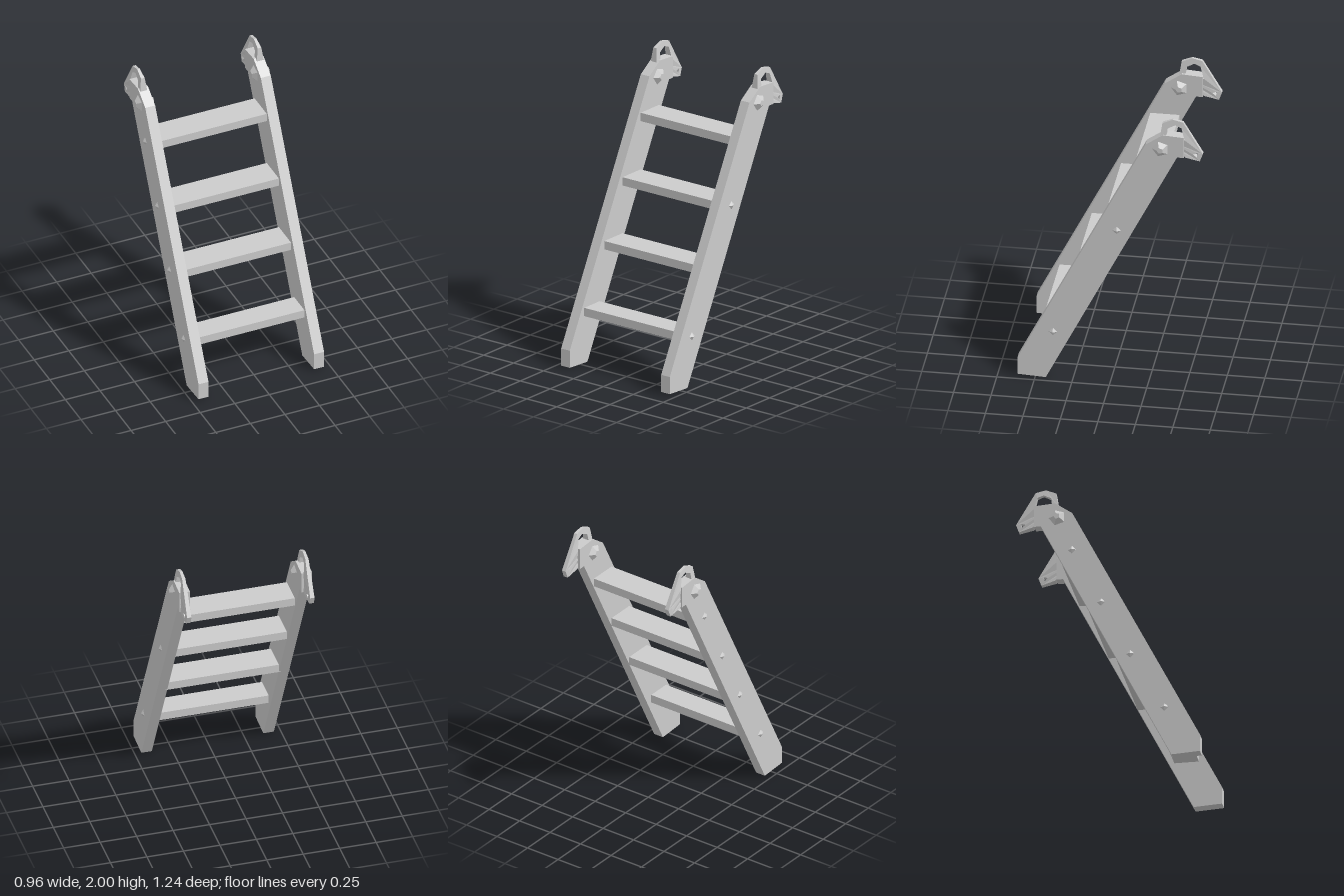
import * as THREE from 'three';

const grey = new THREE.MeshStandardMaterial({ color: 0xcccccc, flatShading: true });

const RAIL_X = 0.418;

// Side outlines as [z, y] points
const railOutline = [[0.43, 0], [0.62, 0.01], [0.62, 0.13], [-0.235, 1.81], [-0.35, 1.89],
  [-0.49, 1.88], [-0.49, 1.73], [-0.445, 1.73]];
const hookOutline = [[-0.33, 1.87], [-0.345, 1.97], [-0.415, 2], [-0.483, 1.985], [-0.615, 1.76],
  [-0.595, 1.705], [-0.5, 1.73], [-0.45, 1.78], [-0.4, 1.78]];
const hookArch = [[-0.37, 1.86], [-0.378, 1.935], [-0.43, 1.962], [-0.472, 1.945], [-0.495, 1.86]];
const hookEye = [[-0.55, 1.755], [-0.58, 1.765], [-0.575, 1.735]];

const toPoints = (list) => list.map(([z, y]) => new THREE.Vector2(z, y));

// Extrudes a side outline across x, centred on x = 0
function sidePlate(outline, width, holes = []) {
  const shape = new THREE.Shape(toPoints(outline));
  shape.holes = holes.map((h) => new THREE.Path(toPoints(h)));
  const geo = new THREE.ExtrudeGeometry(shape, { depth: width, bevelEnabled: false });
  return geo.translate(0, 0, -width / 2).rotateY(-Math.PI / 2);
}

// Strap hook that thins towards its crown and its tail
function hookGeometry() {
  const geo = sidePlate(hookOutline, 0.052, [hookArch, hookEye]);
  const p = geo.attributes.position;
  for (let i = 0; i < p.count; i++) {
    const crown = THREE.MathUtils.clamp((p.getY(i) - 1.88) / 0.12, 0, 1);
    const tail = THREE.MathUtils.clamp((-0.5 - p.getZ(i)) / 0.12, 0, 1);
    p.setX(i, p.getX(i) * (1 - 0.65 * crown) * (1 - 0.45 * tail));
  }
  geo.computeVertexNormals();
  return geo;
}

export function createModel() {
  const group = new THREE.Group();
  const add = (name, geo, x = 0, y = 0, z = 0) => {
    const mesh = new THREE.Mesh(geo, grey);
    mesh.name = name;
    mesh.position.set(x, y, z);
    group.add(mesh);
    return mesh;
  };

  const railGeo = sidePlate(railOutline, 0.072);
  const hookGeo = hookGeometry();
  // Faceted bolt head: a blunt five-sided cone lying along x
  const boltGeo = new THREE.CylinderGeometry(0.022, 0.06, 0.03, 5).rotateZ(-Math.PI / 2);
  const pegGeo = new THREE.ConeGeometry(0.035, 0.02, 4).rotateZ(-Math.PI / 2);

  // Side rails with their hooks and through-bolts
  for (const side of [-1, 1]) {
    const label = side > 0 ? 'left' : 'right';
    add(label + 'Rail', railGeo, side * RAIL_X);
    add(label + 'Hook', hookGeo, side * 0.422);
    for (const out of [-1, 1]) {
      const bolt = add(label + (out * side > 0 ? 'OuterBolt' : 'InnerBolt'), boltGeo,
        side * RAIL_X + out * 0.049, 1.785, -0.335);
      if (out < 0) bolt.rotation.y = Math.PI;
    }
  }

  // Level treads: [height, back z, front z]
  const treads = [[0.358, 0.3, 0.465], [0.765, 0.055, 0.25], [1.157, -0.14, 0.055], [1.553, -0.335, -0.14]];
  treads.forEach(([y, back, front], i) => {
    const mid = (back + front) / 2;
    add('tread' + (i + 1), new THREE.BoxGeometry(0.79, 0.058, front - back), 0, y, mid);
    // Peg ends showing on the outside of the rails
    add('rightPeg' + (i + 1), pegGeo, -0.46, y - 0.01, mid).rotation.y = Math.PI;
    if (i % 2 === 0) add('leftPeg' + (i + 1), pegGeo, 0.46, y - 0.01, mid);
  });

  return group;
}
